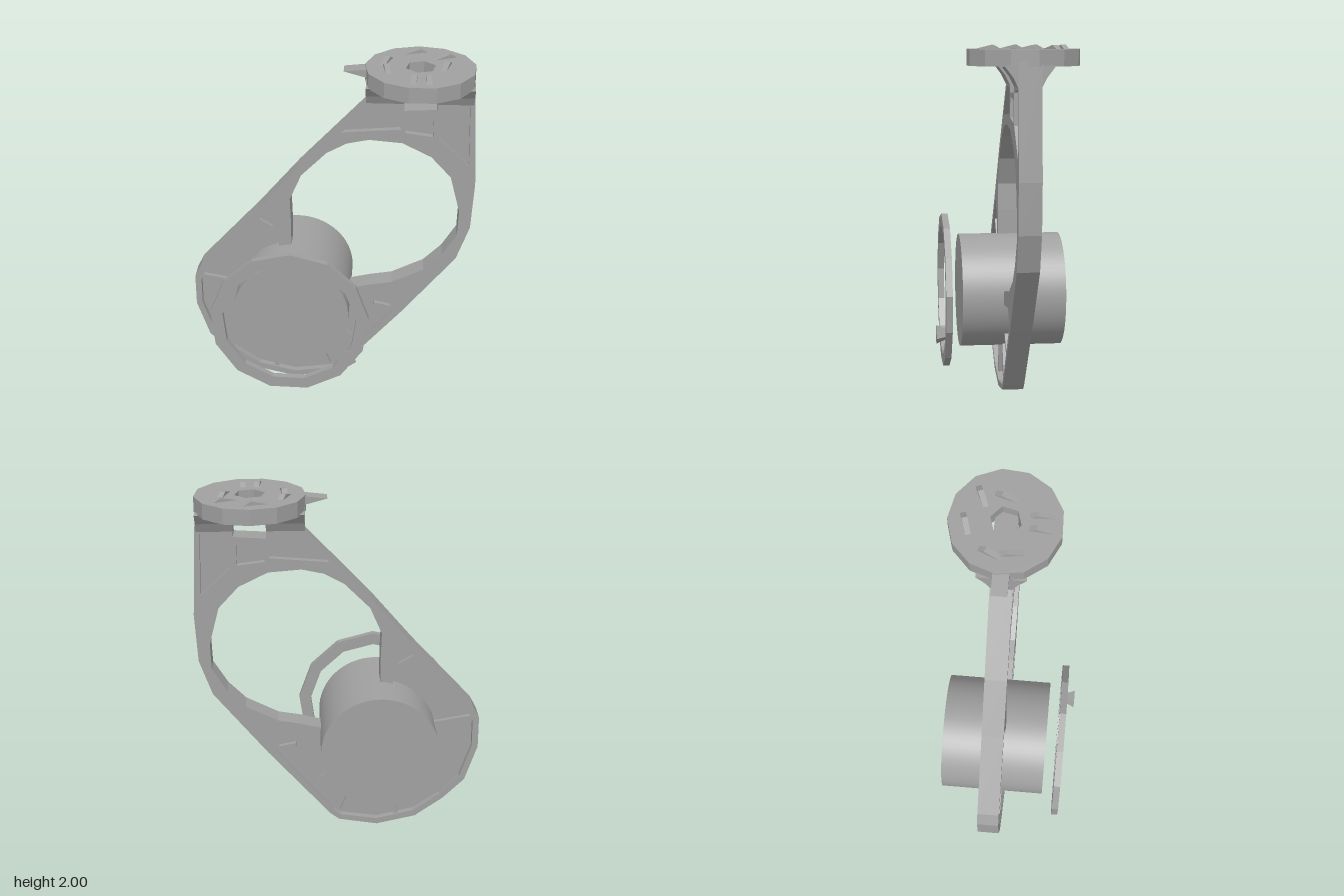
import * as THREE from 'three';

const grey = new THREE.MeshStandardMaterial({ color: 0xa0a0a0, flatShading: true });
grey.name = 'grey';
const smoothGrey = grey.clone();
smoothGrey.flatShading = false;

const MID_Z = -0.07;            // middle plane of the frame
const HUB = [-0.22, 0.585];     // axis of the drum

function add(parent, name, geometry, material = grey) {
  const mesh = new THREE.Mesh(geometry, material);
  mesh.name = name;
  parent.add(mesh);
  return mesh;
}

const toPoints = (pairs) => pairs.map(([x, y]) => new THREE.Vector2(x, y));

// Flat plate with holes, thickness centred on z
function plate(outline, holes, thickness, z) {
  const shape = new THREE.Shape(toPoints(outline));
  holes.forEach((h) => shape.holes.push(new THREE.Path(toPoints(h))));
  const g = new THREE.ExtrudeGeometry(shape, { depth: thickness, bevelEnabled: false });
  return g.translate(0, 0, z - thickness / 2);
}

function polygon(cx, cy, r, sides, turn = 0) {
  return Array.from({ length: sides }, (_, i) => {
    const a = turn + (i / sides) * Math.PI * 2;
    return [cx + r * Math.cos(a), cy + r * Math.sin(a)];
  });
}

// Straight rib between two points in the frame plane
function rib(parent, [x1, y1], [x2, y2], width = 0.025, depth = 0.1) {
  const g = new THREE.BoxGeometry(Math.hypot(x2 - x1, y2 - y1), width, depth);
  const m = add(parent, 'rib', g);
  m.position.set((x1 + x2) / 2, (y1 + y2) / 2, MID_Z);
  m.rotation.z = Math.atan2(y2 - y1, x2 - x1);
}

export function createModel() {
  const model = new THREE.Group();
  model.name = 'bracket';

  // Frame: outline, main opening, window and recessed pockets
  const outline = [
    [-0.79, 0.5], [-0.72, 0.29], [-0.6, 0.17], [-0.44, 0.055], [-0.22, 0.005], [0, 0.04],
    [0.05, 0.08], [0.4, 0.48], [0.7, 0.85], [0.77, 1.05], [0.785, 1.32], [0.755, 1.92],
    [0.18, 1.92], [0.18, 1.78], [-0.18, 1.4], [-0.41, 1.13], [-0.75, 0.76], [-0.79, 0.68],
  ];
  const opening = [
    [-0.23, 0.85], [-0.23, 1.05], [-0.235, 1.2], [-0.17, 1.35], [-0.03, 1.49], [0.08, 1.55],
    [0.2, 1.575], [0.38, 1.56], [0.54, 1.48], [0.65, 1.36], [0.705, 1.15], [0.7, 1.0],
    [0.62, 0.87], [0.52, 0.77], [0.34, 0.68], [0.22, 0.66], [0.05, 0.62],
  ];
  const windowHole = [[0.385, 1.75], [0.56, 1.76], [0.56, 1.885], [0.385, 1.885]];
  const pockets = [
    [
      [-0.38, 1.1], [-0.72, 0.74], [-0.755, 0.66], [-0.755, 0.5], [-0.69, 0.31], [-0.58, 0.195],
      [-0.43, 0.09], [-0.22, 0.04], [-0.01, 0.07], [0.03, 0.1], [0.36, 0.49], [0.3, 0.58],
      [0.05, 0.55], [-0.3, 0.8], [-0.3, 0.98],
    ],
    [[0.05, 1.615], [0.22, 1.78], [0.36, 1.78], [0.37, 1.64]],
    [[0.395, 1.62], [0.545, 1.6], [0.545, 1.72], [0.395, 1.73]],
    [[0.575, 1.59], [0.745, 1.43], [0.735, 1.78], [0.575, 1.76]],
  ];
  const frame = new THREE.Group();
  frame.name = 'frame';
  model.add(frame);
  add(frame, 'frameRim', plate(outline, [opening, windowHole, ...pockets], 0.12, MID_Z));
  const inner = outline.map(([x, y]) => [x + (0 - x) * 0.01, y + (0.95 - y) * 0.01]);
  add(frame, 'frameWeb', plate(inner, [opening, windowHole], 0.05, MID_Z));

  // Radial ribs between drum and rim
  [[170, 0.54], [225, 0.54], [292, 0.53], [318, 0.44], [258, 0.55], [130, 0.5]].forEach(([deg, r]) => {
    const a = THREE.MathUtils.degToRad(deg);
    const at = (d) => [HUB[0] + d * Math.cos(a), HUB[1] + d * Math.sin(a)];
    rib(frame, at(0.31), at(r));
  });
  rib(frame, [-0.43, 1.06], [-0.3, 0.98]);
  rib(frame, [0.24, 0.52], [0.38, 0.49]);

  // Flared tops of the two posts
  const flare = [[-0.06, 1.79], [0.06, 1.79], [0.085, 1.84], [0.13, 1.9], [-0.13, 1.9], [-0.085, 1.84]];
  [[0.18, 0.385], [0.56, 0.755]].forEach(([x0, x1]) => {
    const g = plate(flare, [], x1 - x0, 0).rotateY(Math.PI / 2);
    add(frame, 'postFlare', g).position.set((x0 + x1) / 2, 0, MID_Z);
  });

  // Drum through the lower part of the frame
  const drum = new THREE.CylinderGeometry(0.325, 0.325, 0.58, 64).rotateX(Math.PI / 2);
  add(model, 'drum', drum, smoothGrey).position.set(...HUB, MID_Z);

  // Loose ring in front of the drum, with a small stud
  const ring = plate(polygon(-0.22, 0.59, 0.443, 13, 0.1), [polygon(-0.22, 0.59, 0.375, 13, 0.1)], 0.036, 0.302);
  add(model, 'frontRing', ring);
  const stud = new THREE.CylinderGeometry(0.055, 0.03, 0.055, 5).rotateX(Math.PI / 2);
  add(model, 'ringStud', stud).position.set(0.105, 0.4, 0.343);

  // Top disc with hexagonal hole and a pointer
  const disc = plate(polygon(0, 0, 0.297, 13, 0.15), [polygon(0, 0, 0.083, 6, 0.3)], 0.085, 0);
  disc.rotateX(-Math.PI / 2);
  add(model, 'topDisc', disc).position.set(0.467, 1.936, MID_Z);
  const pointer = plate([[0.06, 1.96], [0.17, 1.93], [0.24, 1.9], [0.24, 1.975], [0.17, 1.972]], [], 0.085, MID_Z);
  add(model, 'pointer', pointer);

  // Small raised chips on the disc
  [[0.28, -0.13, 1.2], [0.29, -0.02, 1.7], [0.43, 0.12, 1.5], [0.51, 0.12, 1.6],
    [0.59, -0.2, 0.4], [0.6, -0.07, 1.3], [0.43, -0.27, 0.3]].forEach(([x, z, turn]) => {
    const chip = plate([[-0.06, 0], [0.07, 0], [0.03, 0.022]], [], 0.03, 0);
    const m = add(model, 'discChip', chip);
    m.position.set(x, 1.978, z);
    m.rotation.y = turn;
  });

  return model;
}
